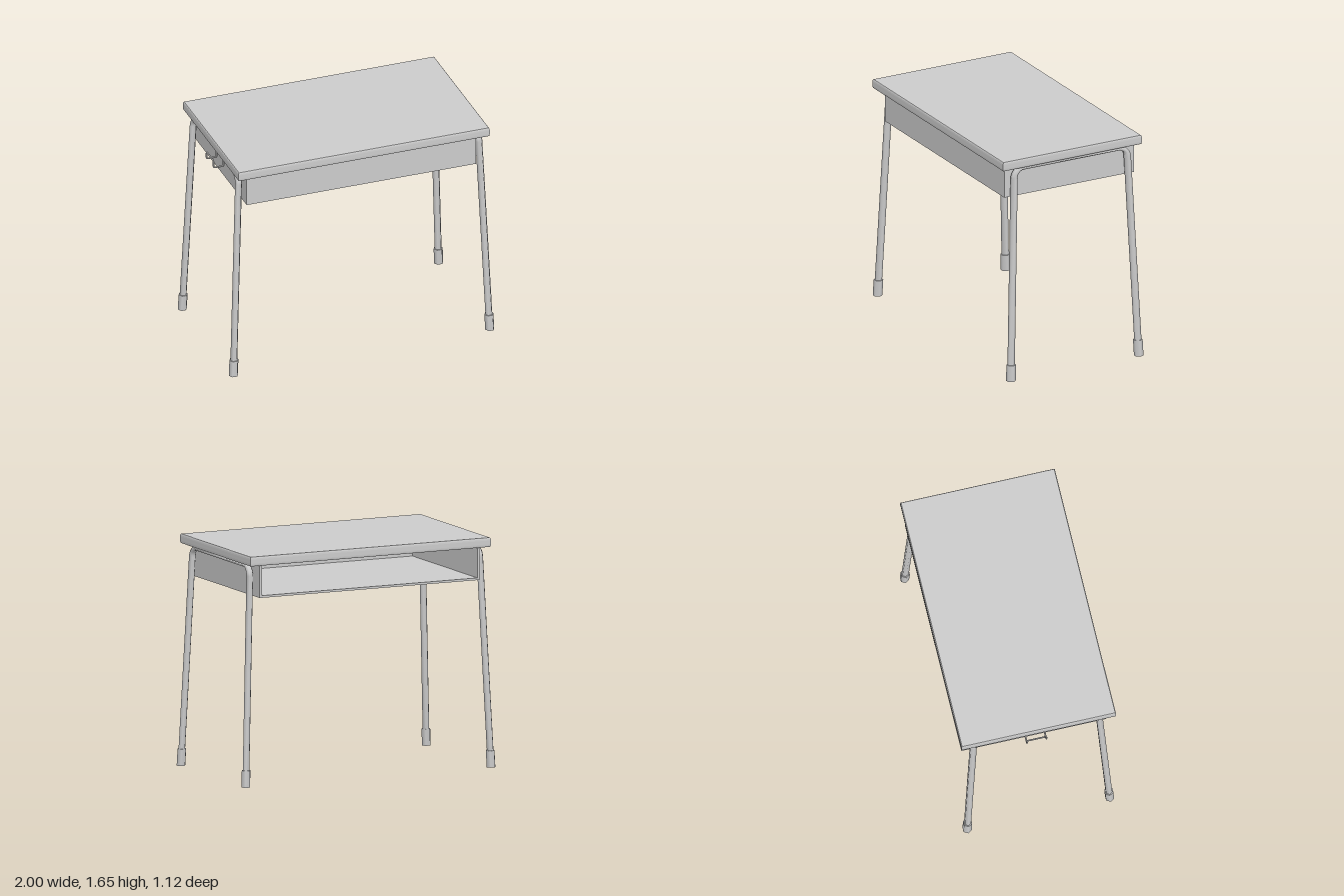
import * as THREE from 'three';

const material = new THREE.MeshStandardMaterial({ color: 0xcccccc });
const SIDES = 6, MID_Z = -0.008;
const legX = (y) => 0.966 - 0.04 * y;

function add(parent, name, geometry) {
  const mesh = new THREE.Mesh(geometry, material);
  mesh.name = name;
  parent.add(mesh);
  return mesh;
}

function box(parent, name, [x0, x1], [y0, y1], [z0, z1]) {
  const mesh = add(parent, name, new THREE.BoxGeometry(x1 - x0, y1 - y0, z1 - z0));
  mesh.position.set((x0 + x1) / 2, (y0 + y1) / 2, (z0 + z1) / 2);
}

// One bent tube: up a leg, across a slightly flattened top bar, down the other leg
function legFrameGeometry() {
  const rows = [{ z: 0.514, y: 0.08, a: 0, r: 0.026 }];
  const steps = 6, bend = 0.07;
  for (let k = 0; k <= steps; k++) {
    const t = k / steps, a = t * Math.PI / 2;
    rows.push({
      z: 0.388 + bend * Math.cos(a), y: 1.499 + bend * Math.sin(a),
      a, r: THREE.MathUtils.lerp(0.026, 0.0155, t),
    });
  }
  rows.push(...rows.slice().reverse().map((p) => ({ ...p, z: -p.z, a: Math.PI - p.a })));

  const positions = [], index = [];
  rows.forEach((p, i) => {
    for (let j = 0; j < SIDES; j++) {
      const b = j / SIDES * Math.PI * 2, v = p.r * Math.sin(b);
      positions.push(
        legX(p.y) + 0.026 * Math.cos(b),
        p.y + v * Math.sin(p.a),
        MID_Z + p.z + v * Math.cos(p.a));
      if (i === rows.length - 1) continue;
      const k = (j + 1) % SIDES, m = i * SIDES, n = m + SIDES;
      index.push(m + j, n + j, m + k, m + k, n + j, n + k);
    }
  });
  const geometry = new THREE.BufferGeometry();
  geometry.setAttribute('position', new THREE.Float32BufferAttribute(positions, 3));
  geometry.setIndex(index);
  geometry.computeVertexNormals();
  return geometry;
}

// Foot cap, sheared to follow the splay of its leg
function footGeometry(side) {
  const geometry = new THREE.CylinderGeometry(0.034, 0.034, 0.12, SIDES, 1, false, Math.PI / 2);
  geometry.translate(0, 0.06, 0);
  return geometry.applyMatrix4(new THREE.Matrix4().set(
    1, -0.04, 0, legX(0),
    0, 1, 0, 0,
    0, -0.04 * side, 1, MID_Z + 0.517 * side,
    0, 0, 0, 1));
}

export function createModel() {
  const desk = new THREE.Group();
  desk.name = 'schoolDesk';

  // Tabletop with softened edges
  const w = 0.941, d = 0.555;
  const outline = new THREE.Shape([
    new THREE.Vector2(-w, -d), new THREE.Vector2(w, -d),
    new THREE.Vector2(w, d), new THREE.Vector2(-w, d)]);
  const top = new THREE.ExtrudeGeometry(outline, {
    depth: 0.027, bevelThickness: 0.02, bevelSize: 0.006, bevelSegments: 3 });
  add(desk, 'tabletop', top.rotateX(-Math.PI / 2).translate(0, 1.603, 0));

  // Book tray, open at the back
  const tray = new THREE.Group();
  tray.name = 'bookTray';
  desk.add(tray);
  const t = 0.016, X = 0.865, Y0 = 1.35, Y1 = 1.583, Z0 = -0.543, Z1 = 0.506;
  box(tray, 'trayFloor', [-X, X], [Y0, Y0 + t], [Z0, Z1]);
  box(tray, 'trayFront', [-X + t, X - t], [Y0 + t, Y1], [Z1 - t, Z1]);
  box(tray, 'trayLeftSide', [X - t, X], [Y0 + t, Y1], [Z0, Z1]);
  box(tray, 'trayRightSide', [-X, -X + t], [Y0 + t, Y1], [Z0, Z1]);

  // Leg frames at both ends
  for (const side of [1, -1]) {
    const end = new THREE.Group();
    end.name = side > 0 ? 'leftLegs' : 'rightLegs';
    end.scale.x = side;
    desk.add(end);
    add(end, 'legFrame', legFrameGeometry());
    add(end, 'frontFoot', footGeometry(1));
    add(end, 'backFoot', footGeometry(-1));
  }

  // Bent wire bag hook on the right side
  const wall = -0.872, out = -0.947;
  const points = [
    [wall, 1.54, -0.085], [wall, 1.435, -0.085], [out, 1.435, -0.085], [out, 1.49, -0.085],
    [out, 1.49, 0.055], [out, 1.435, 0.055], [wall, 1.435, 0.055], [wall, 1.54, 0.055],
  ].map((p) => new THREE.Vector3(...p));
  const wire = new THREE.CurvePath();
  let from = points[0];
  for (let i = 1; i < points.length - 1; i++) {
    const corner = points[i];
    const before = corner.clone().add(points[i - 1].clone().sub(corner).setLength(0.012));
    const after = corner.clone().add(points[i + 1].clone().sub(corner).setLength(0.012));
    wire.add(new THREE.LineCurve3(from, before));
    wire.add(new THREE.QuadraticBezierCurve3(before, corner, after));
    from = after;
  }
  wire.add(new THREE.LineCurve3(from, points[points.length - 1]));
  add(desk, 'bagHook', new THREE.TubeGeometry(wire, 100, 0.006, 6));

  return desk;
}
